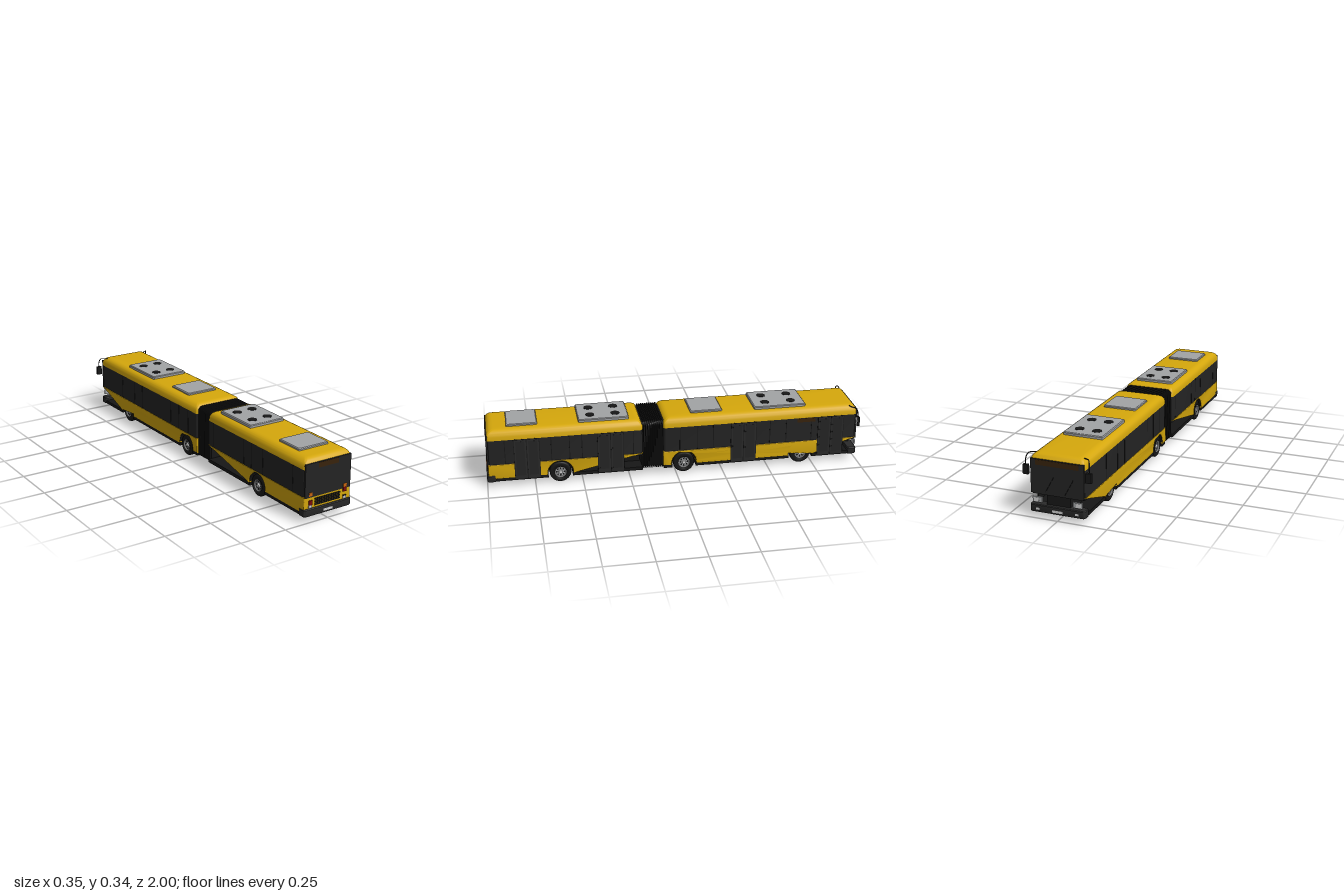
import * as THREE from 'three';
import { toCreasedNormals } from 'three/addons/utils/BufferGeometryUtils.js';

const mat = (name, color, side = THREE.FrontSide) =>
  Object.assign(new THREE.MeshStandardMaterial({ color, side }), { name });

export function createModel() {
  const M = {
    yellow: mat('yellow paint', 0xd6a80c),
    glass: mat('dark glass', 0x242424),
    door: mat('door charcoal', 0x2a2a2a),
    black: mat('black rubber', 0x171717, THREE.DoubleSide),
    grey: mat('roof unit grey', 0xa2a4a6),
    silver: mat('silver', 0xd4d4d4),
    orange: mat('orange lamp', 0xc8640f),
    red: mat('red lamp', 0x7a0a0e),
    sign: mat('sign brown', 0x38230c),
  };
  const bus = new THREE.Group();
  bus.name = 'articulatedBus';

  const add = (name, geo, material, x = 0, y = 0, z = 0, parent = bus) => {
    const m = new THREE.Mesh(geo, material);
    m.name = name;
    m.position.set(x, y, z);
    parent.add(m);
    return m;
  };
  // Box given by its limits on each axis
  const box = (name, material, [x0, x1], [y0, y1], [z0, z1], parent = bus) =>
    add(name, new THREE.BoxGeometry(x1 - x0, y1 - y0, z1 - z0), material,
      (x0 + x1) / 2, (y0 + y1) / 2, (z0 + z1) / 2, parent);

  // Stacked rounded rectangles; levels are [y, inset]
  const loft = (halfW, z0, z1, radius, levels) => {
    const pos = [], idx = [], seg = 6, n = 4 * (seg + 1);
    const zc = (z0 + z1) / 2, halfL = (z1 - z0) / 2;
    const signs = [[1, 1], [-1, 1], [-1, -1], [1, -1]];
    for (const [y, inset] of levels) {
      signs.forEach(([sx, sz], q) => {
        for (let i = 0; i <= seg; i++) {
          const a = (q + i / seg) * Math.PI / 2;
          pos.push(sx * (halfW - inset - radius) + Math.cos(a) * radius, y,
            zc + sz * (halfL - inset - radius) + Math.sin(a) * radius);
        }
      });
    }
    for (let k = 0; k < levels.length - 1; k++) {
      for (let j = 0; j < n; j++) {
        const a = k * n + j, b = k * n + (j + 1) % n;
        idx.push(a, a + n, b, b, a + n, b + n);
      }
    }
    const top = (levels.length - 1) * n;
    pos.push(0, levels[levels.length - 1][0], zc);
    for (let j = 0; j < n; j++) idx.push(levels.length * n, top + (j + 1) % n, top + j);
    const g = new THREE.BufferGeometry();
    g.setAttribute('position', new THREE.Float32BufferAttribute(pos, 3));
    g.setIndex(idx);
    return toCreasedNormals(g, 0.6);
  };

  const AXLE = 0.057, ARCH = 0.067, W = 0.14;

  // Lower side band with wheel arches, drawn in (z, y) and extruded across the bus
  const bandGeometry = (z0, z1, axles) => {
    const y0 = 0.048, bevel = 0.006, s = new THREE.Shape();
    const dip = Math.asin((AXLE - y0) / ARCH);
    s.moveTo(z0, y0);
    for (const z of axles) s.absarc(z, AXLE, ARCH, Math.PI + dip, -dip, true);
    s.lineTo(z1, y0);
    s.lineTo(z1, 0.132);
    s.lineTo(z0, 0.132);
    const g = new THREE.ExtrudeGeometry(s, {
      depth: 2 * W - 2 * bevel, curveSegments: 20, bevelEnabled: true,
      bevelSize: bevel, bevelThickness: bevel, bevelOffset: -bevel, bevelSegments: 3,
    });
    g.translate(0, 0, -W + bevel);
    g.rotateY(-Math.PI / 2);
    return toCreasedNormals(g, 0.6);
  };

  // One rigid half of the bus
  const section = (name, z0, z1, axles) => {
    const g = new THREE.Group();
    g.name = name;
    bus.add(g);
    add('sideBand', bandGeometry(z0, z1, axles), M.yellow, 0, 0, 0, g);
    add('windowBand', loft(0.138, z0 + 0.002, z1 - 0.002, 0.015, [[0.12, 0], [0.275, 0]]), M.glass, 0, 0, 0, g);
    add('roof', loft(0.14, z0, z1, 0.015, [[0.268, 0], [0.288, 0.001], [0.3, 0.005],
      [0.309, 0.011], [0.315, 0.019], [0.319, 0.029], [0.32, 0.04]]), M.yellow, 0, 0, 0, g);
    box('floorCore', M.black, [-0.06, 0.06], [0.034, 0.13], [z0 + 0.01, z1 - 0.01], g);
    // Skirt pieces between the arches
    const stops = [z0 + 0.003, ...axles.flatMap(z => [z - 0.064, z + 0.064]), z1 - 0.003];
    for (let i = 0; i < stops.length; i += 2)
      box('skirt', M.black, [-0.138, 0.138], [0.034, 0.052], [stops[i], stops[i + 1]], g);
    for (const z of axles) {
      const liner = add('archLiner', new THREE.CylinderGeometry(0.0665, 0.0665, 0.276, 28, 1, true, 0, Math.PI),
        M.black, 0, AXLE, z, g);
      liner.rotation.set(0, 0, Math.PI / 2);
      liner.rotation.order = 'XYZ';
      liner.geometry.rotateY(0);
    }
  };
  section('frontSection', -0.992, 0.07, [-0.685, -0.042]);
  section('rearSection', 0.178, 0.992, [0.617]);

  // Wheels: tyre profile turned about the axle, with a rim and spokes
  const tyreGeo = new THREE.LatheGeometry([[0.03, -0.016], [0.05, -0.016], [0.055, -0.013], [0.057, -0.008],
    [0.057, 0.008], [0.055, 0.013], [0.05, 0.016], [0.03, 0.016], [0.03, -0.016]]
    .map(p => new THREE.Vector2(...p)), 32);
  const wheel = (side, z, dual) => {
    const w = new THREE.Group();
    w.name = 'wheel';
    w.position.set(side * 0.117, AXLE, z);
    w.rotation.z = -side * Math.PI / 2;
    bus.add(w);
    add('tyre', tyreGeo, M.black, 0, 0, 0, w);
    if (dual) add('innerTyre', tyreGeo, M.black, 0, -0.035, 0, w);
    add('wheelDisc', new THREE.CylinderGeometry(0.031, 0.031, 0.02, 24), M.grey, 0, 0, 0, w);
    const rim = add('rim', new THREE.TorusGeometry(0.029, 0.003, 8, 28), M.silver, 0, 0.014, 0, w);
    rim.rotation.x = Math.PI / 2;
    add('hub', new THREE.CylinderGeometry(0.009, 0.012, 0.012, 16), M.silver, 0, 0.012, 0, w);
    for (let i = 0; i < 8; i++) {
      const a = i * Math.PI / 4;
      add('rimHole', new THREE.CylinderGeometry(0.0045, 0.0045, 0.002, 10), M.black,
        Math.cos(a) * 0.02, 0.0105, Math.sin(a) * 0.02, w);
    }
  };
  for (const [z, dual] of [[-0.685, false], [-0.042, true], [0.617, true]]) {
    wheel(1, z, dual);
    wheel(-1, z, dual);
    const axle = add('axle', new THREE.CylinderGeometry(0.012, 0.012, 0.2, 12), M.black, 0, AXLE, z);
    axle.rotation.z = Math.PI / 2;
  }

  // Bellows between the two halves
  const fold = (w, y0, y1, depth) => {
    const r = 0.025, s = new THREE.Shape();
    s.moveTo(-w, y0);
    s.lineTo(w, y0);
    s.lineTo(w, y1 - r);
    s.absarc(w - r, y1 - r, r, 0, Math.PI / 2);
    s.absarc(-w + r, y1 - r, r, Math.PI / 2, Math.PI);
    return new THREE.ExtrudeGeometry(s, { depth, bevelEnabled: false, curveSegments: 6 });
  };
  add('bellowsCore', fold(0.122, 0.046, 0.302, 0.12), M.black, 0, 0, 0.064);
  for (let i = 0; i < 10; i++) add('bellowsFold', fold(0.131, 0.04, 0.311, 0.006), M.black, 0, 0, 0.072 + i * 0.011);
  box('turntablePlate', M.grey, [-0.09, 0.09], [0.031, 0.04], [0.06, 0.18]);

  // Double doors on the kerb side
  for (const [z0, z1] of [[-0.92, -0.775], [-0.435, -0.295], [0.28, 0.42], [0.72, 0.855]]) {
    const mid = (z0 + z1) / 2;
    box('doorFrame', M.black, [0.136, 0.1405], [0.037, 0.268], [z0, z1]);
    for (const [a, b] of [[z0 + 0.003, mid - 0.002], [mid + 0.002, z1 - 0.003]]) {
      box('doorLeaf', M.door, [0.137, 0.142], [0.042, 0.265], [a, b]);
      box('doorGlass', M.glass, [0.138, 0.1427], [0.06, 0.255], [a + 0.008, b - 0.008]);
    }
  }
  // Window pillars
  for (const z of [-0.74, -0.6, -0.51, -0.2, -0.115, -0.02, 0.23, 0.5, 0.565, 0.66, 0.9])
    for (const s of [-1, 1])
      box('windowPillar', M.black, [s * 0.138 - 0.001, s * 0.138 + 0.001], [0.132, 0.268], [z - 0.002, z + 0.002]);
  box('sideSign', M.sign, [0.136, 0.1395], [0.243, 0.265], [-0.76, -0.66]);

  // Both ends: window, bumper, plate and destination sign
  for (const e of [-1, 1]) {
    const end = new THREE.Group();
    end.name = e > 0 ? 'grilleEnd' : 'windscreenEnd';
    bus.add(end);
    const plate = (name, m, xs, ys, z0, z1) => box(name, m, xs, ys, e > 0 ? [z0, z1] : [-z1, -z0], end);
    plate('endWindow', M.glass, [-0.136, 0.136], [0.125, 0.296], 0.985, 0.994);
    plate('endSign', M.sign, e > 0 ? [-0.06, 0.06] : [-0.11, 0.11], [0.267, 0.293], 0.99, 0.9955);
    add('bumper', loft(0.1415, e > 0 ? 0.95 : -1, e > 0 ? 1 : -0.95, 0.012,
      [[0.032, 0.002], [0.036, 0], [0.066, 0], [0.07, 0.003]]), M.door, 0, 0, 0, end);
    plate('bumperBase', M.black, [-0.13, 0.13], [0.0325, 0.036], 0.955, 0.994);
    plate('numberPlate', M.silver, [-0.028, 0.026], [0.041, 0.053], 0.997, 1.001);
    for (const s of [-1, 1]) {
      const lamp = (name, m, y0, y1, w = 0.01, x = 0.103) =>
        plate(name, m, [s * x - w, s * x + w], [y0, y1], 0.988, 0.9965);
      if (e > 0) {
        lamp('indicator', M.orange, 0.132, 0.15);
        if (s > 0) lamp('brakeLamp', M.red, 0.109, 0.131);
        else lamp('brakeLamp', M.red, 0.087, 0.11);
        lamp('reverseLamp', M.silver, 0.073, 0.086);
        if (s > 0) lamp('lampTrim', M.black, 0.086, 0.091);
      } else {
        lamp('headlampHousing', M.grey, 0.08, 0.108, 0.024);
        plate('headlamp', M.silver, [s * 0.108 - 0.012, s * 0.108 + 0.012], [0.084, 0.104], 0.99, 0.998);
        plate('fogLamp', M.silver, [s * 0.1 - 0.009, s * 0.1 + 0.009], [0.044, 0.054], 0.997, 1.001);
      }
    }
  }
  // Engine grille and wiper
  for (let i = 0; i < 5; i++)
    box('grilleSlat', M.black, [-0.077, 0.076], [0.08 + i * 0.0078, 0.085 + i * 0.0078], [0.988, 0.9955]);
  for (const x of [-0.06, 0.04]) {
    const wiper = box('wiper', M.black, [x - 0.0015, x + 0.0015], [0.13, 0.22], [-0.998, -0.993]);
    wiper.rotation.z = 0.5;
  }

  // Roof units with tapered edges, two of them with fans
  const roofUnit = (halfW, z0, z1, top, fans) => {
    const x = -0.003;
    add('roofUnit', loft(halfW, z0, z1, 0.008, [[0.315, 0], [top - 0.004, 0], [top, 0.004]]), M.grey, x);
    for (const z of fans) for (const s of [-1, 1])
      add('roofFan', new THREE.CylinderGeometry(0.024, 0.024, 0.003, 24), M.black, x + s * 0.046, top, z);
  };
  roofUnit(0.104, -0.712, -0.43, 0.335, [-0.643, -0.5]);
  roofUnit(0.089, -0.256, -0.085, 0.331, []);
  roofUnit(0.104, 0.246, 0.512, 0.335, [0.313, 0.446]);
  roofUnit(0.089, 0.724, 0.885, 0.331, []);

  // Mirrors on curved arms
  for (const s of [-1, 1]) {
    const arm = new THREE.CatmullRomCurve3([[0.12, 0.314, -0.95], [0.142, 0.314, -0.958],
      [0.155, 0.311, -0.975], [0.161, 0.29, -0.988], [0.162, 0.255, -0.99]]
      .map(([x, y, z]) => new THREE.Vector3(s * x, y, z)));
    add('mirrorArm', new THREE.TubeGeometry(arm, 20, 0.0025, 8), M.black);
    box('mirrorHousing', M.black, [s * 0.16 - 0.014, s * 0.16 + 0.014], [0.213, 0.261], [-0.998, -0.984]);
    if (s > 0) box('mirrorGlass', M.silver, [0.147, 0.173], [0.214, 0.26], [-0.985, -0.983]);
  }
  return bus;
}
